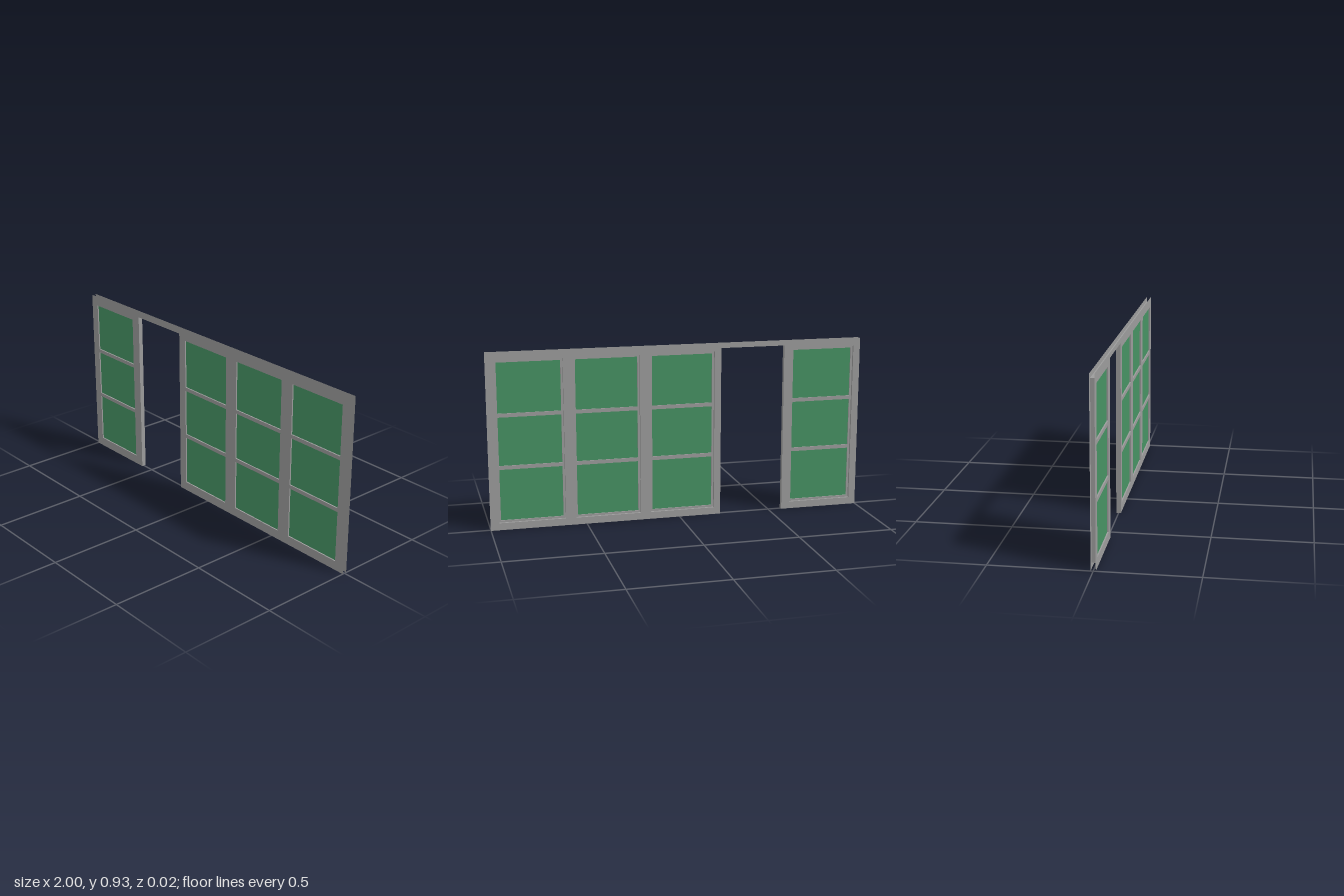
import * as THREE from 'three';

const HALF = 0.012;                    // half the wall depth
const HEIGHT = 0.925, LINTEL = 0.9;
const DOOR = [-0.572, -0.225];         // door opening, left and right jamb
const WINDOWS = [[-0.952, -0.627], [-0.178, 0.145], [0.222, 0.546], [0.621, 0.946]];
const ROWS = [[0.048, 0.317], [0.337, 0.59], [0.61, 0.872]];
const RIM = 0.011;                     // rabbet around each sash
const SASH_BACK = 0, GLASS_Z = 0.005;

export function createModel() {
  const group = new THREE.Group();
  const frameGrey = new THREE.MeshStandardMaterial({ color: 0x9c9c9c, side: THREE.DoubleSide });
  frameGrey.name = 'frameGrey';
  const paneGreen = new THREE.MeshStandardMaterial({ color: 0x479364, side: THREE.DoubleSide });
  paneGreen.name = 'paneGreen';

  const add = (name, geometry, material, z = 0, parent = group) => {
    const mesh = new THREE.Mesh(geometry, material);
    mesh.name = name;
    mesh.position.z = z;
    parent.add(mesh);
    return mesh;
  };
  const outline = (points, Type = THREE.Shape) => new Type(points.map(([x, y]) => new THREE.Vector2(x, y)));
  const rect = (x0, y0, x1, y1, Type) => outline([[x0, y0], [x1, y0], [x1, y1], [x0, y1]], Type);

  // Flat strip running from one point to another, spanning z0 to z1
  const strip = (name, [ax, ay], [bx, by], z0 = -HALF, z1 = HALF, parent = group) => {
    const geometry = new THREE.PlaneGeometry(Math.hypot(bx - ax, by - ay), z1 - z0);
    geometry.rotateX(-Math.PI / 2);
    geometry.rotateZ(Math.atan2(by - ay, bx - ax));
    geometry.translate((ax + bx) / 2, (ay + by) / 2, 0);
    return add(name, geometry, frameGrey, (z0 + z1) / 2, parent);
  };

  const bottom = ROWS[0][0] - RIM, top = ROWS[2][1] + RIM;

  // Front and back sheets with the door notch and window openings
  const sheet = outline([
    [-1, 0], [DOOR[0], 0], [DOOR[0], LINTEL], [DOOR[1], LINTEL],
    [DOOR[1], 0], [1, 0], [1, HEIGHT], [-1, HEIGHT],
  ]);
  for (const [x0, x1] of WINDOWS) sheet.holes.push(rect(x0 - RIM, bottom, x1 + RIM, top, THREE.Path));
  add('frontSheet', new THREE.ShapeGeometry(sheet), frameGrey, HALF);
  add('backSheet', new THREE.ShapeGeometry(sheet).rotateY(Math.PI).scale(-1, 1, 1), frameGrey, -HALF);
  // Restore the winding after mirroring so the back sheet faces outward
  const back = group.getObjectByName('backSheet').geometry;
  back.index.array.reverse();
  back.computeVertexNormals();

  // Recessed channel around the outer edge, and the door lining
  const EDGE = 0.973, SILL = 0.03;
  strip('topChannel', [-EDGE, LINTEL], [EDGE, LINTEL]);
  strip('leftChannel', [EDGE, SILL], [EDGE, LINTEL]);
  strip('rightChannel', [-EDGE, SILL], [-EDGE, LINTEL]);
  strip('bottomChannelRight', [-EDGE, SILL], [DOOR[0], SILL]);
  strip('bottomChannelLeft', [DOOR[1], SILL], [EDGE, SILL]);
  for (const x of DOOR) strip('doorJamb', [x, 0], [x, LINTEL]);

  // Windows: sash with crossbars, three panes and a rabbet at the back
  for (const [x0, x1] of WINDOWS) {
    const windowGroup = new THREE.Group();
    windowGroup.name = 'window';
    group.add(windowGroup);
    const l = x0 - RIM, r = x1 + RIM;
    const sash = rect(l, bottom, r, top);
    for (const [y0, y1] of ROWS) {
      sash.holes.push(rect(x0, y0, x1, y1, THREE.Path));
      add('pane', new THREE.ShapeGeometry(rect(x0, y0, x1, y1)), paneGreen, GLASS_Z, windowGroup);
    }
    add('sash', new THREE.ExtrudeGeometry(sash, { depth: HALF - SASH_BACK, bevelEnabled: false }),
      frameGrey, SASH_BACK, windowGroup);
    const corners = [[l, bottom], [r, bottom], [r, top], [l, top]];
    corners.forEach((c, i) => strip('rabbet', c, corners[(i + 1) % 4], -HALF, SASH_BACK, windowGroup));
  }
  return group;
}
